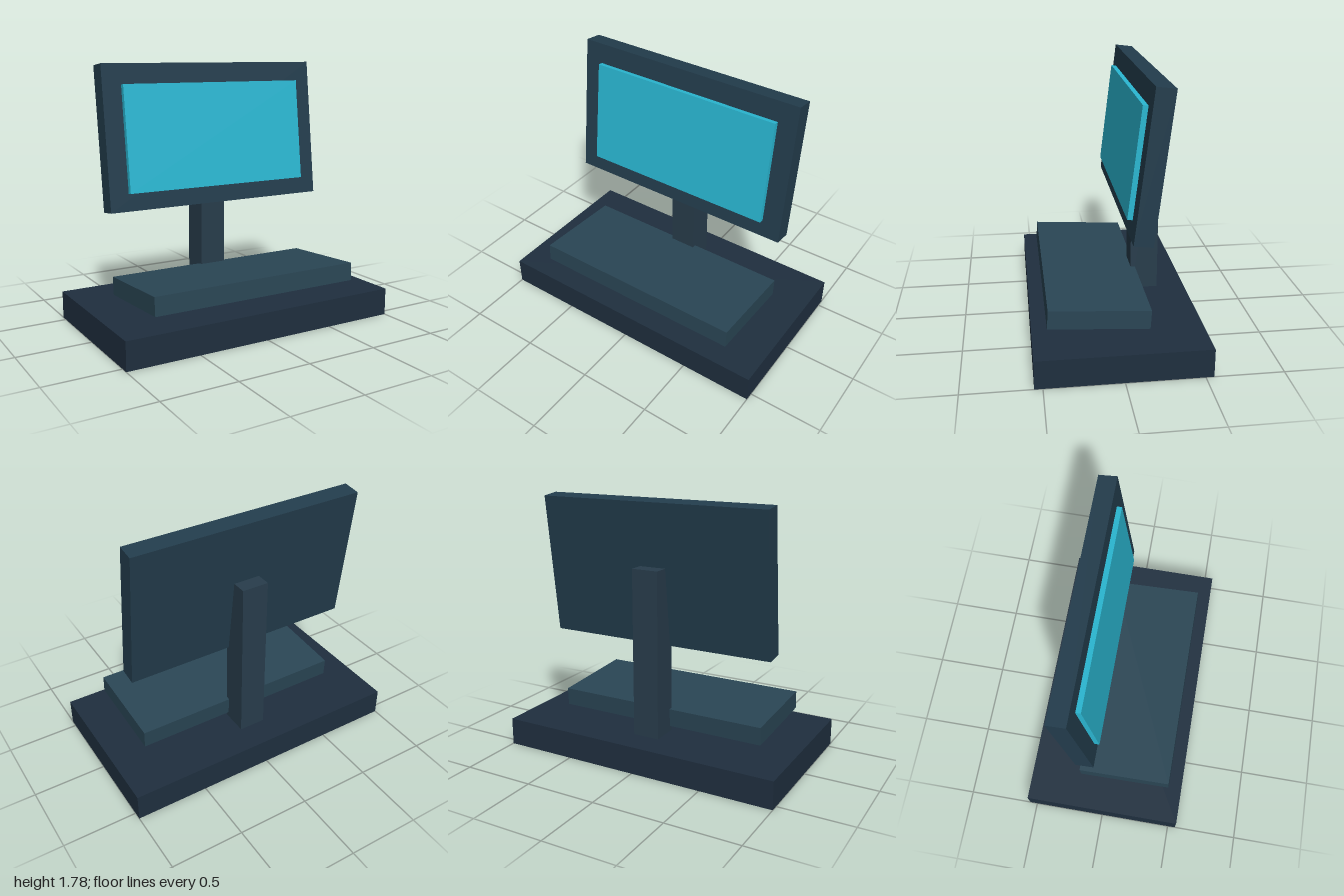
import * as THREE from 'three';

// Named box with a size, a centre and a backward tilt about x
function box(name, color, [w, h, d], [x, y, z], tilt = 0) {
  const mesh = new THREE.Mesh(
    new THREE.BoxGeometry(w, h, d),
    new THREE.MeshStandardMaterial({ color, flatShading: true })
  );
  mesh.name = name;
  mesh.position.set(x, y, z);
  mesh.rotation.x = -tilt;
  return mesh;
}

export function createModel() {
  const model = new THREE.Group();
  model.name = 'computerTerminal';

  // Base slab and upright post
  model.add(box('base', 0x1f2f3f, [2, 0.19, 1.106], [0, 0.095, 0]));
  model.add(box('post', 0x283d4c, [0.186, 1.15, 0.19], [0, 0.76, -0.265]));

  // Keyboard shelf, raised slightly at its front edge
  model.add(box('keyboard', 0x2a4655, [1.524, 0.125, 0.652], [0, 0.308, 0.128], 0.06));

  // Monitor leaning back, with the screen panel standing proud of its face
  const monitor = new THREE.Group();
  monitor.name = 'monitor';
  monitor.position.set(0, 1.288, -0.189);
  monitor.rotation.x = -0.12;
  monitor.add(box('monitorHousing', 0x233d4d, [1.63, 0.967, 0.124], [0, 0, 0]));
  monitor.add(box('screen', 0x2ab8d3, [1.366, 0.712, 0.06], [0, -0.01, 0.066]));
  model.add(monitor);

  return model;
}
